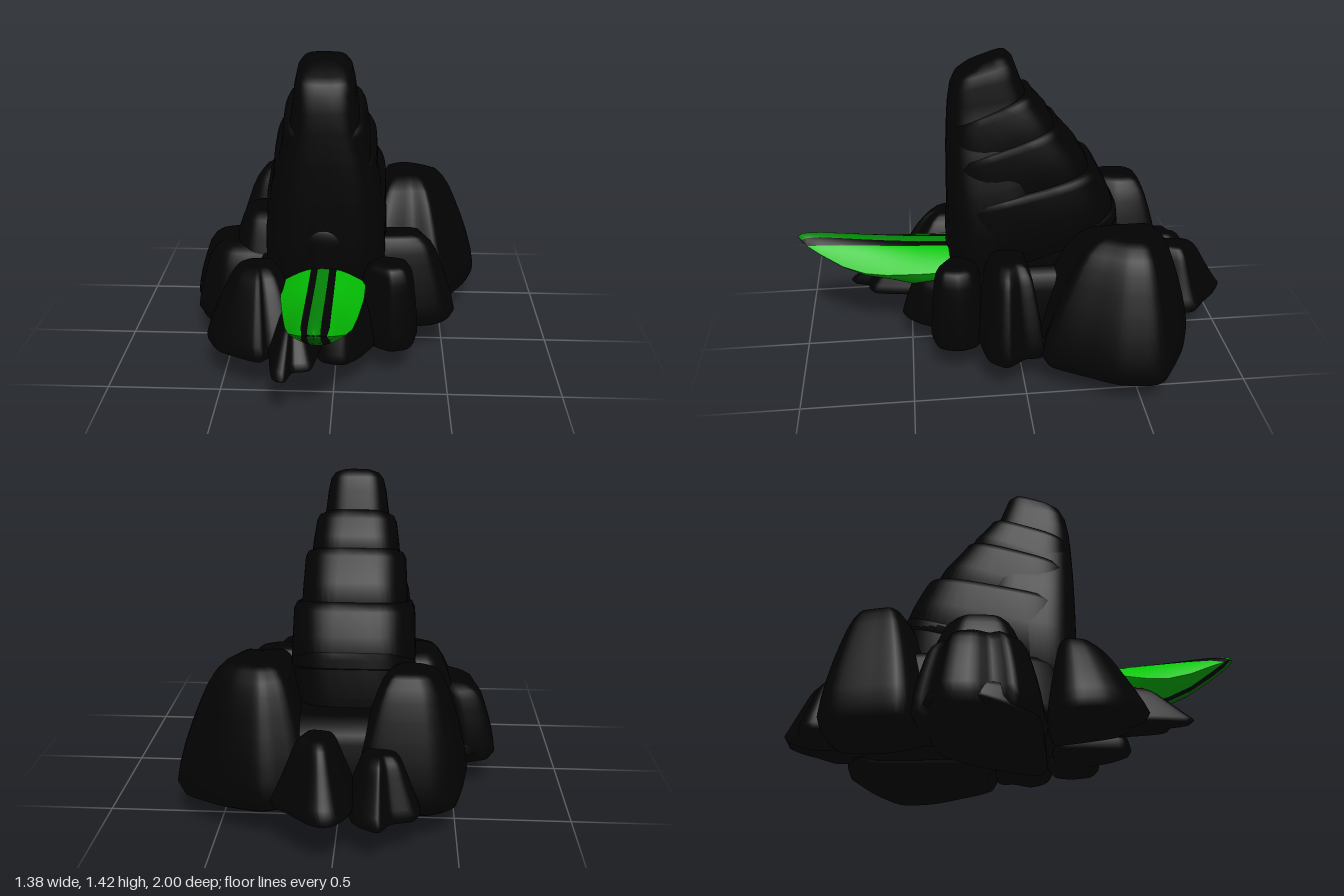
import * as THREE from 'three';
import { mergeGeometries } from 'three/addons/utils/BufferGeometryUtils.js';

const AXIS_X = -0.05;
const { lerp, clamp } = THREE.MathUtils;

function geometryFrom(pos, idx) {
  const g = new THREE.BufferGeometry();
  g.setAttribute('position', new THREE.Float32BufferAttribute(pos, 3));
  g.setIndex(idx);
  g.computeVertexNormals();
  return g;
}

// Closed skin over rings of [x, y, z] points, listed bottom to top, each anticlockwise from above
function skin(rings) {
  const N = rings[0].length;
  const pos = rings.flat(2);
  const idx = [];
  for (let i = 0; i < rings.length - 1; i++) {
    for (let j = 0; j < N; j++) {
      const a = i * N + j, b = i * N + ((j + 1) % N);
      idx.push(a, b, a + N, b, b + N, a + N);
    }
  }
  [0, rings.length - 1].forEach((r) => {
    const c = pos.length / 3;
    for (let k = 0; k < 3; k++) pos.push(rings[r].reduce((sum, p) => sum + p[k], 0) / N);
    for (let j = 0; j < N; j++) {
      const a = r * N + j, b = r * N + ((j + 1) % N);
      if (r) idx.push(a, b, c);
      else idx.push(b, a, c);
    }
  });
  return geometryFrom(pos, idx);
}

// Tower section: [yBack, yFront, zBack, zFront, halfWidth]
function section([yb, yf, zb, zf, w]) {
  const soft = (c) => Math.sign(c) * Math.pow(Math.abs(c), 0.55);
  return Array.from({ length: 56 }, (_, j) => {
    const a = (j / 56) * Math.PI * 2;
    const t = (1 - soft(Math.sin(a))) / 2;
    return [AXIS_X + w * soft(Math.cos(a)), lerp(yb, yf, t), lerp(zb, zf, t)];
  });
}

// Boulder: a cornered footprint drawn in towards a summit; the base may slope
function boulder({ foot, y: [y0, y1], summit: [sx, sz], top, power = 1.5, slope = [0, 0] }) {
  const curve = new THREE.CatmullRomCurve3(
    foot.map(([x, z]) => new THREE.Vector3(x, 0, z)), true, 'catmullrom', 0.3);
  const pts = curve.getSpacedPoints(72).slice(0, -1);
  const area = THREE.ShapeUtils.area(pts.map((p) => new THREE.Vector2(p.x, p.z)));
  if (area > 0) pts.reverse();
  const levels = [[0, 0.84], [0.03, 0.93], [0.12, 1], [0.25, 1], [0.4, 1], [0.55, 1],
    [0.7, 1], [0.82, 1], [0.91, 0.96], [0.97, 0.85], [0.995, 0.65], [1, 0.35]];
  return skin(levels.map(([h, inset]) => {
    const k = inset * lerp(1, top, Math.pow(Math.max(0, h - 0.1) / 0.9, power));
    return pts.map((p) => {
      const x = sx + (p.x - sx) * k;
      const z = sz + (p.z - sz) * k;
      return [x, lerp(y0, y1, h) + (1 - h) * (slope[0] * (x + 0.25) + slope[1] * (z - 0.08)), z];
    });
  }));
}

// Hull sections: [z, halfWidth, topY, edgeY, keelY]
const HULL = [
  [0.27, 0.187, 0.505, 0.43, 0.25], [0.45, 0.18, 0.515, 0.425, 0.28],
  [0.6, 0.156, 0.53, 0.415, 0.33], [0.7, 0.138, 0.542, 0.42, 0.355],
  [0.8, 0.115, 0.555, 0.45, 0.4], [0.9, 0.08, 0.568, 0.5, 0.465],
  [0.96, 0.048, 0.572, 0.53, 0.51], [0.985, 0.028, 0.57, 0.547, 0.53], [1.0, 0.003, 0.56, 0.555, 0.55],
];

// Lengthwise hull strip between two offsets from the centre line, on deck and underside
function hullStrip(from, to) {
  const C = 10;
  return [1, -1].map((side) => {
    const pos = [];
    const idx = [];
    HULL.forEach(([z, w, top, edge, keel], i) => {
      const a = clamp(from, -w, w);
      const b = clamp(to, -w, w);
      for (let j = 0; j <= C; j++) {
        const dx = lerp(a, b, j / C);
        const u = Math.abs(dx) / w;
        const y = side > 0
          ? edge + (top - edge) * (1 - Math.pow(u, 2))
          : edge - (edge - keel) * (1 - Math.pow(u, 2));
        pos.push(AXIS_X + dx, y, z);
        if (i < HULL.length - 1 && j < C) {
          const k = i * (C + 1) + j, n = k + C + 1;
          if (side > 0) idx.push(k, n, k + 1, k + 1, n, n + 1);
          else idx.push(k, k + 1, n, k + 1, n + 1, n);
        }
      }
    });
    return geometryFrom(pos, idx);
  });
}

const BOULDERS = {
  core: { foot: [[-0.4, -0.62], [0.28, -0.64], [0.3, 0.12], [0.12, 0.28], [-0.28, 0.28], [-0.42, 0]],
    y: [0.17, 0.5], summit: [-0.05, -0.15], top: 0.9 },
  leftBigBoulder: { foot: [[0.2, -0.74], [0.3, -0.77], [0.5, -0.7], [0.66, -0.6], [0.69, -0.53],
    [0.67, -0.38], [0.6, -0.24], [0.5, -0.07], [0.36, -0.095], [0.13, -0.06], [0.1, -0.65]],
    y: [0.165, 0.705], summit: [0.33, -0.48], top: 0.46, power: 1.4, slope: [-0.07, 0] },
  leftMiddleBoulder: { foot: [[0.3, -0.08], [0.48, -0.08], [0.49, 0], [0.55, 0.09], [0.49, 0.17],
    [0.35, 0.2], [0.1, 0.2], [0.1, -0.05]], y: [0.15, 0.58], summit: [0.26, 0.05], top: 0.55, power: 1.3 },
  leftFrontBoulder: { foot: [[0.12, 0.15], [0.33, 0.19], [0.37, 0.28], [0.34, 0.38], [0.25, 0.41],
    [0.18, 0.37], [0.1, 0.3]], y: [0.14, 0.53], summit: [0.23, 0.29], top: 0.75 },
  rightBackBoulder: { foot: [[-0.1, -0.74], [-0.38, -0.76], [-0.5, -0.69], [-0.54, -0.5], [-0.55, -0.39],
    [-0.46, -0.32], [-0.2, -0.28], [-0.08, -0.5]], y: [0.13, 0.7], summit: [-0.3, -0.54], top: 0.45 },
  rightMiddleBoulder: { foot: [[-0.5, -0.36], [-0.54, -0.28], [-0.68, -0.22], [-0.69, -0.1], [-0.64, -0.01],
    [-0.66, 0.06], [-0.55, 0.15], [-0.4, 0.17], [-0.15, 0.15], [-0.15, -0.35]],
    y: [0.13, 0.5], summit: [-0.38, -0.1], top: 0.7 },
  rightUpperBoulder: { foot: [[-0.53, -0.2], [-0.5, 0.05], [-0.4, 0.13], [-0.15, 0.13], [-0.15, -0.34],
    [-0.42, -0.34]], y: [0.3, 0.64], summit: [-0.34, -0.1], top: 0.5, power: 1.2 },
  rightLowSlab: { foot: [[-0.68, -0.16], [-0.64, 0.05], [-0.5, 0.15], [-0.2, 0.17], [-0.15, 0],
    [-0.17, -0.28], [-0.5, -0.32]], y: [0.015, 0.25], summit: [-0.4, -0.06], top: 0.9, slope: [-0.24, -0.25] },
  rightFrontBoulder: { foot: [[-0.58, 0.3], [-0.56, 0.41], [-0.5, 0.5], [-0.32, 0.6], [-0.27, 0.55],
    [-0.15, 0.5], [-0.14, 0.2], [-0.45, 0.18], [-0.55, 0.23]],
    y: [0.12, 0.52], summit: [-0.34, 0.27], top: 0.4, power: 1.2, slope: [0, 0.1] },
  frontStepRight: { foot: [[-0.28, 0.4], [-0.27, 0.6], [-0.24, 0.77], [-0.19, 0.79], [-0.16, 0.71],
    [-0.08, 0.68], [-0.05, 0.4]], y: [0.2, 0.38], summit: [-0.17, 0.48], top: 0.4, power: 1 },
  frontStepLeft: { foot: [[-0.09, 0.22], [-0.07, 0.5], [0.04, 0.54], [0.12, 0.47], [0.19, 0.33],
    [0.15, 0.2]], y: [0.14, 0.37], summit: [0.04, 0.34], top: 0.65, power: 1.2 },
  backRightStone: { foot: [[-0.35, -0.79], [-0.32, -0.85], [-0.23, -0.88], [-0.18, -0.95], [-0.1, -0.91],
    [-0.06, -0.85], [-0.05, -0.62], [-0.3, -0.62]], y: [0.16, 0.42], summit: [-0.18, -0.73], top: 0.45, power: 1 },
  backLeftStone: { foot: [[-0.08, -0.87], [-0.02, -0.98], [0.04, -1], [0.1, -0.97], [0.17, -0.9],
    [0.25, -0.83], [0.25, -0.76], [0.15, -0.58], [-0.08, -0.62]],
    y: [0.16, 0.49], summit: [0.07, -0.74], top: 0.4, power: 0.9, slope: [0, -0.04] },
};

export function createModel() {
  const model = new THREE.Group();
  model.name = 'rockTowerWithProw';
  const material = (name, color) => {
    const m = new THREE.MeshStandardMaterial({ color });
    m.name = name;
    return m;
  };
  const black = material('black rock', 0x020202);
  const green = material('bright green', 0x04c404);
  const darkGreen = material('dark green', 0x048608);
  green.side = darkGreen.side = THREE.DoubleSide;
  const group = (name) => {
    const g = new THREE.Group();
    g.name = name;
    model.add(g);
    return g;
  };
  const add = (parent, name, geometry, mat) => {
    const mesh = new THREE.Mesh(geometry, mat);
    mesh.name = name;
    parent.add(mesh);
  };

  // Tower: overlapping tilted layers that step at the sides and back
  const tower = group('tower');
  const layers = [ // back y, front y, back z, half width; each from bottom to top
    [0.34, 0.73, 0.34, 0.5, -0.5, -0.46, 0.275, 0.275],
    [0.66, 0.91, 0.4, 0.76, -0.47, -0.37, 0.277, 0.268],
    [0.86, 1.11, 0.62, 0.96, -0.36, -0.2, 0.238, 0.225],
    [1.06, 1.25, 0.8, 1.12, -0.2, -0.085, 0.205, 0.18],
  ];
  layers.forEach(([b0, b1, f0, f1, z0, z1, w0, w1], i) => {
    add(tower, `towerLayer${i + 1}`, skin([
      [b0, f0, z0, 0.3, w0],
      [lerp(b0, b1, 0.5), lerp(f0, f1, 0.5), lerp(z0, z1, 0.45), 0.3, lerp(w0, w1, 0.5)],
      [b1 - 0.03, f1 - 0.03, z1 - 0.005, 0.295, w1],
      [b1 - 0.005, f1 - 0.005, z1 + 0.01, 0.285, w1 - 0.012],
      [b1, f1, z1 + 0.04, 0.26, w1 - 0.04],
    ].map(section)), black);
  });

  // Smooth tower face running up into the cap
  add(tower, 'towerFaceAndCap', skin([
    [0.35, 0.35, -0.2, 0.312, 0.272], [0.7, 0.6, -0.15, 0.312, 0.268], [0.9, 0.8, -0.1, 0.311, 0.24],
    [1.06, 0.98, -0.08, 0.307, 0.195], [1.2, 1.12, -0.06, 0.3, 0.15], [1.25, 1.2, -0.045, 0.293, 0.139],
    [1.33, 1.27, -0.015, 0.28, 0.13], [1.385, 1.315, 0.005, 0.258, 0.118],
    [1.408, 1.34, 0.03, 0.225, 0.1], [1.412, 1.375, 0.06, 0.16, 0.06],
  ].map(section)), black);

  // Hood where the prow leaves the tower
  const hood = new THREE.CapsuleGeometry(0.08, 0.16, 8, 24);
  hood.scale(1, 1, 0.25);
  hood.translate(AXIS_X, 0.53, 0.302);
  add(tower, 'prowHood', hood, black);

  // Boulders around the foot
  const rocks = group('boulders');
  for (const [name, spec] of Object.entries(BOULDERS)) add(rocks, name, boulder(spec), black);

  // Prow: green flanks, two black stripes, dark green centre stripe
  const prow = group('prow');
  const strips = (list) => mergeGeometries(list.flatMap(([a, b]) => hullStrip(a, b)));
  add(prow, 'prowFlanks', strips([[-1, -0.056], [0.056, 1]]), green);
  add(prow, 'prowStripes', strips([[-0.056, -0.025], [0.025, 0.056]]), black);
  add(prow, 'prowCentreStripe', strips([[-0.025, 0.025]]), darkGreen);

  return model;
}
